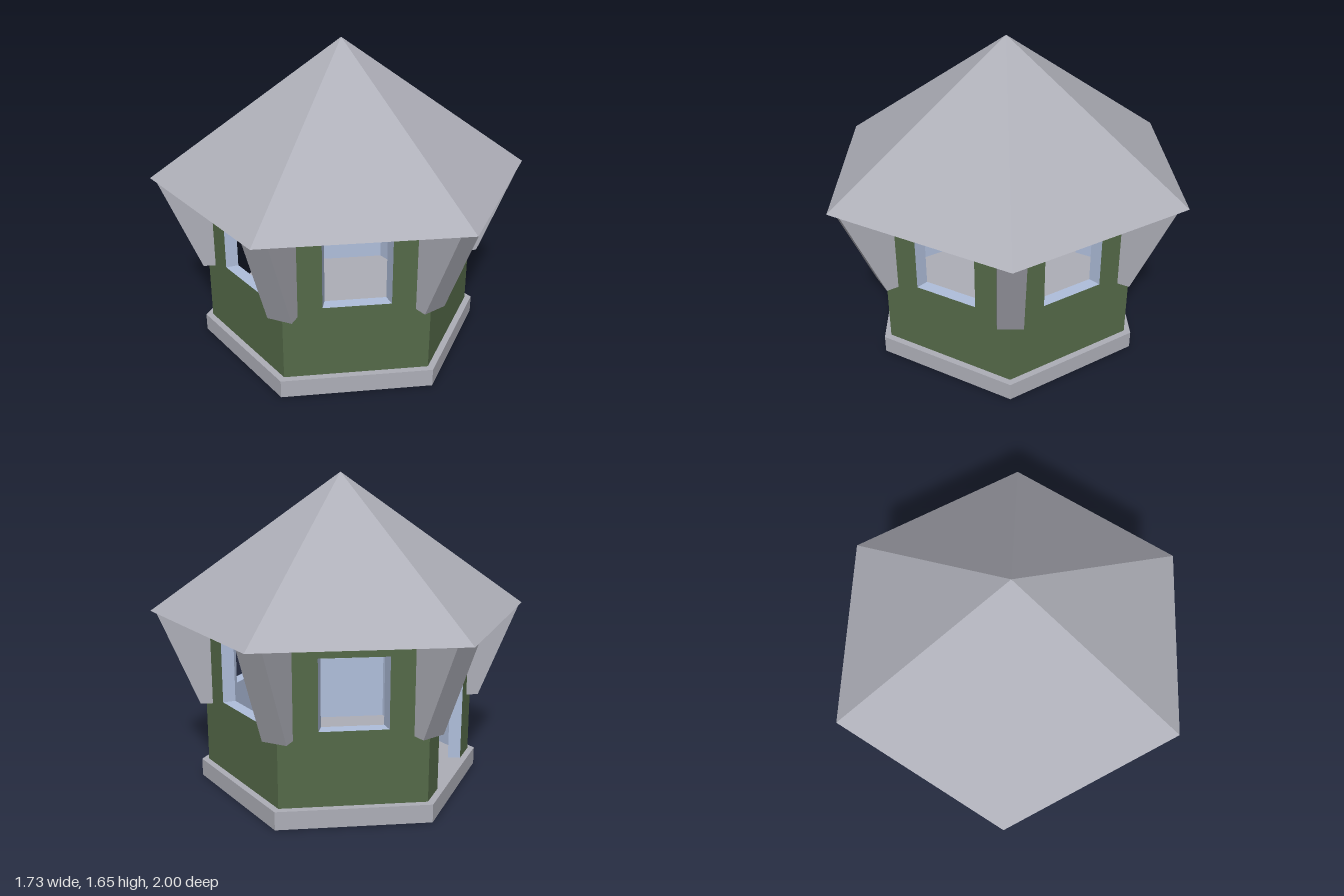
import * as THREE from 'three';

const BASE_TOP = 0.095, EAVES = 0.94, APEX = 1.65;
const WALL_R = 0.73;                     // outer corner radius of the walls
const APOTHEM = WALL_R * Math.cos(Math.PI / 6);
const INNER = 0.9;                       // inner wall skin relative to the outer
const SIDE = Math.PI / 3;

// Opening outline, counter-clockwise, starting at the lower right corner
const opening = (half, bottom, top) => [[half, bottom], [half, top], [-half, top], [-half, bottom]];

// One wall face, with a window hole or a door notch
function wallShape(points, isDoor) {
  const h = WALL_R / 2;
  const v = (p) => new THREE.Vector2(p[0], p[1]);
  const outline = [[h, BASE_TOP], [h, EAVES], [-h, EAVES], [-h, BASE_TOP]];
  if (isDoor) outline.push(...[...points].reverse());
  const shape = new THREE.Shape(outline.map(v));
  if (!isDoor) shape.holes.push(new THREE.Path(points.map(v)));
  return shape;
}

// Faces that line an opening between the outer and inner skins
function revealGeometry(points, closed) {
  const pos = [];
  const out = (p) => [p[0], p[1], APOTHEM];
  const inn = (p) => [p[0] * INNER, p[1], APOTHEM * INNER];
  const count = closed ? points.length : points.length - 1;
  for (let i = 0; i < count; i++) {
    const a = points[i], b = points[(i + 1) % points.length];
    pos.push(...out(a), ...out(b), ...inn(b), ...out(a), ...inn(b), ...inn(a));
  }
  const g = new THREE.BufferGeometry();
  g.setAttribute('position', new THREE.Float32BufferAttribute(pos, 3));
  g.computeVertexNormals();
  return g;
}

export function createModel() {
  const model = new THREE.Group();
  model.name = 'hexagonalKiosk';

  const material = (name, color) => {
    const m = new THREE.MeshStandardMaterial({ color });
    m.name = name;
    return m;
  };
  const grey = material('grey', 0xaeafb8);
  grey.flatShading = true;
  const green = material('green', 0x556a49);
  const blue = material('paleBlue', 0xb0bfdc);

  const add = (parent, name, geometry, mat) => {
    const mesh = new THREE.Mesh(geometry, mat);
    mesh.name = name;
    parent.add(mesh);
    return mesh;
  };

  // Floor slab and roof, with corners on the z axis
  add(model, 'base', new THREE.CylinderGeometry(0.768, 0.768, BASE_TOP, 6), grey).position.y = BASE_TOP / 2;
  add(model, 'roof', new THREE.ConeGeometry(1, APEX - EAVES, 6), grey).position.y = (APEX + EAVES) / 2;

  // Six walls: five with windows, the one facing -x with a doorway
  for (let i = 0; i < 6; i++) {
    const isDoor = i === 4;
    const wall = new THREE.Group();
    wall.name = isDoor ? 'doorWall' : 'windowWall';
    wall.rotation.y = Math.PI / 6 + i * SIDE;
    model.add(wall);

    const points = isDoor ? opening(0.21, BASE_TOP, 0.77) : opening(0.17, 0.48, 0.84);
    const face = new THREE.ShapeGeometry(wallShape(points, isDoor));
    add(wall, 'outerWall', face.clone().translate(0, 0, APOTHEM), green);
    add(wall, 'innerWall', face.rotateY(Math.PI).scale(INNER, 1, 1).translate(0, 0, APOTHEM * INNER), blue);
    add(wall, isDoor ? 'doorFrame' : 'windowFrame', revealGeometry(points, !isDoor), blue);
  }

  // Tapered braces under the eaves at each corner
  const profile = new THREE.Shape([[0.68, 0.44], [0.757, 0.44], [0.96, EAVES], [0.68, EAVES]]
    .map(([r, y]) => new THREE.Vector2(r, y)));
  const brace = new THREE.ExtrudeGeometry(profile, { depth: 0.13, bevelEnabled: false });
  brace.translate(0, 0, -0.065).rotateY(-Math.PI / 2);
  for (let i = 0; i < 6; i++) add(model, 'eavesBrace', brace, grey).rotation.y = i * SIDE;

  return model;
}
